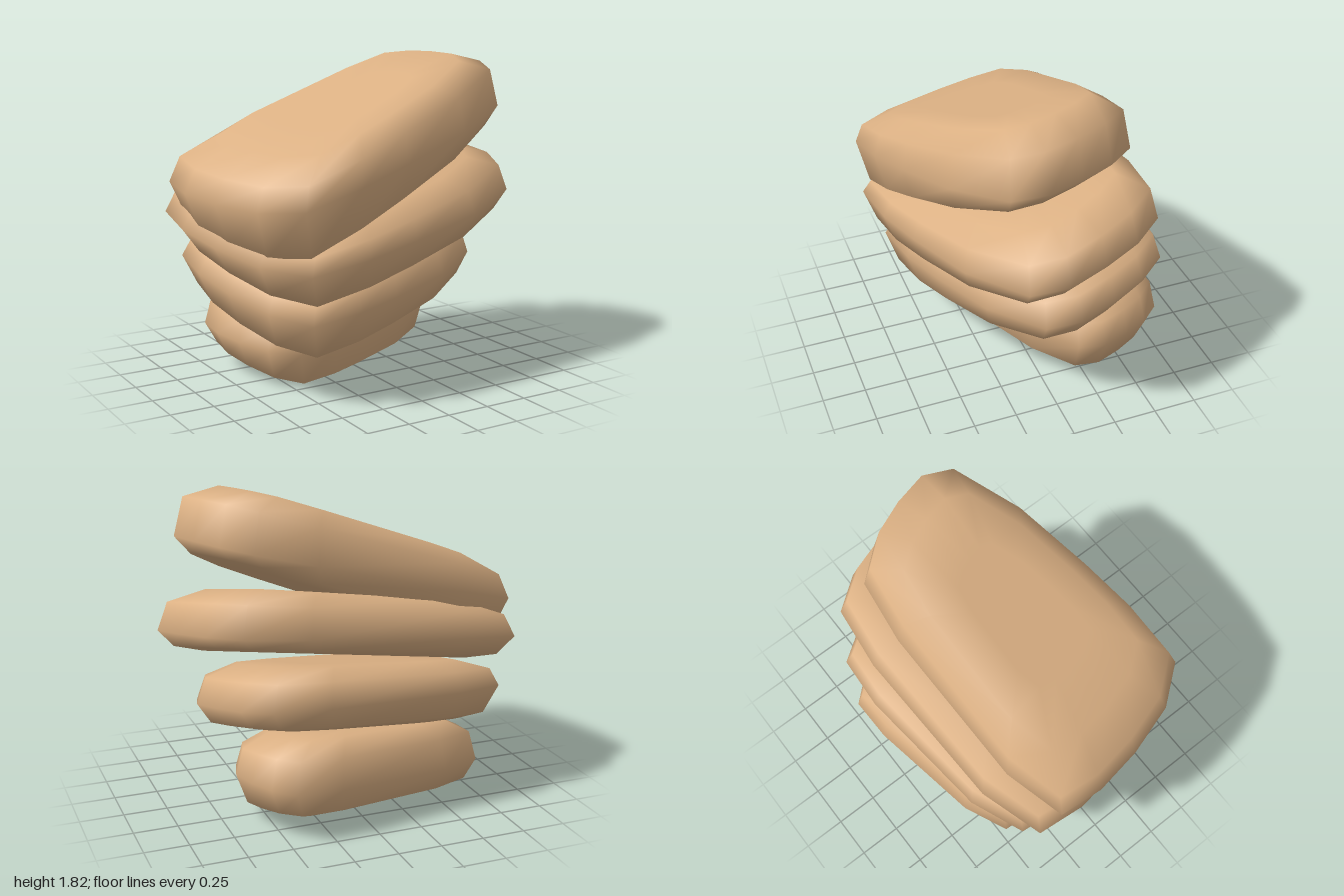
import * as THREE from 'three';

// Shared plan outline in unit coordinates [u, v], going round from the back left
const OUTLINE = [
  [-0.98, -0.75], [-0.62, -0.93], [0.33, -1], [0.7, -0.94], [0.85, -0.66], [0.94, -0.34], [1, 0], [0.94, 0.3],
  [0.54, 0.62], [0.05, 0.83], [-0.3, 0.95], [-0.67, 1], [-0.85, 0.65], [-0.95, 0.15], [-1, -0.32],
];

// Each stone: plan centre [x, z], half sizes [x, z], plan skew, and three tilted
// planes y = h + a*x + c*z for its underside, widest girdle and upper face
const STONES = [
  {
    name: 'baseStone', centre: [-0.025, -0.23], half: [0.705, 0.47], skew: 0.2,
    under: [0.02, 0, -0.14], girdle: [0.245, 0.04, -0.04], upper: [0.44, 0.03, -0.15],
  },
  {
    name: 'lowerStone', centre: [-0.02, -0.055], half: [0.85, 0.635], skew: 0.08,
    under: [0.41, 0.08, -0.25], girdle: [0.6, 0.03, -0.19], upper: [0.78, 0.08, -0.23],
  },
  {
    name: 'upperStone', centre: [0.01, 0.05], half: [0.99, 0.67], skew: 0,
    under: [0.81, 0.14, -0.28], girdle: [0.955, 0.1, -0.18], upper: [1.16, 0.15, -0.26],
  },
  {
    name: 'topStone', centre: [-0.065, 0.125], half: [0.935, 0.605], skew: 0,
    under: [1.16, 0.38, -0.2], girdle: [1.345, 0.25, -0.1], upper: [1.62, 0.35, -0.15],
  },
];

// Cross-section from underside to upper face: [outline scale, plane, blend from girdle]
const RINGS = [
  [0.4, 'under', 1], [0.74, 'under', 1], [0.91, 'under', 0.8],
  [1, 'girdle', 0],
  [0.94, 'upper', 0.66], [0.72, 'upper', 1], [0.4, 'upper', 1],
];

const heightOn = ([h, a, c], x, z) => h + a * x + c * z;

function stoneGeometry(stone) {
  const [cx, cz] = stone.centre;
  const [hx, hz] = stone.half;
  const n = OUTLINE.length;
  const positions = [];
  const index = [];

  for (const [scale, plane, blend] of RINGS) {
    for (const [u, v] of OUTLINE) {
      const x = cx + u * hx * scale;
      const z = cz + (v - stone.skew * u) * hz * scale;
      const y = THREE.MathUtils.lerp(heightOn(stone.girdle, x, z), heightOn(stone[plane], x, z), blend);
      positions.push(x, Math.max(0, y), z);
    }
  }
  // Side bands
  for (let r = 0; r < RINGS.length - 1; r++) {
    for (let i = 0; i < n; i++) {
      const a = r * n + i;
      const b = r * n + (i + 1) % n;
      index.push(a, a + n, b, b, a + n, b + n);
    }
  }
  // Centre points closing the underside and upper face
  const low = RINGS.length * n;
  const last = low - n;
  positions.push(cx, heightOn(stone.under, cx, cz), cz, cx, heightOn(stone.upper, cx, cz), cz);
  for (let i = 0; i < n; i++) {
    const j = (i + 1) % n;
    index.push(low, i, j, low + 1, last + j, last + i);
  }

  const geometry = new THREE.BufferGeometry();
  geometry.setAttribute('position', new THREE.Float32BufferAttribute(positions, 3));
  geometry.setIndex(index);
  geometry.computeVertexNormals();
  return geometry;
}

export function createModel() {
  const group = new THREE.Group();
  group.name = 'stackedStones';
  const material = new THREE.MeshStandardMaterial({ color: 0xdcb184 });
  for (const stone of STONES) {
    const mesh = new THREE.Mesh(stoneGeometry(stone), material);
    mesh.name = stone.name;
    group.add(mesh);
  }
  return group;
}
